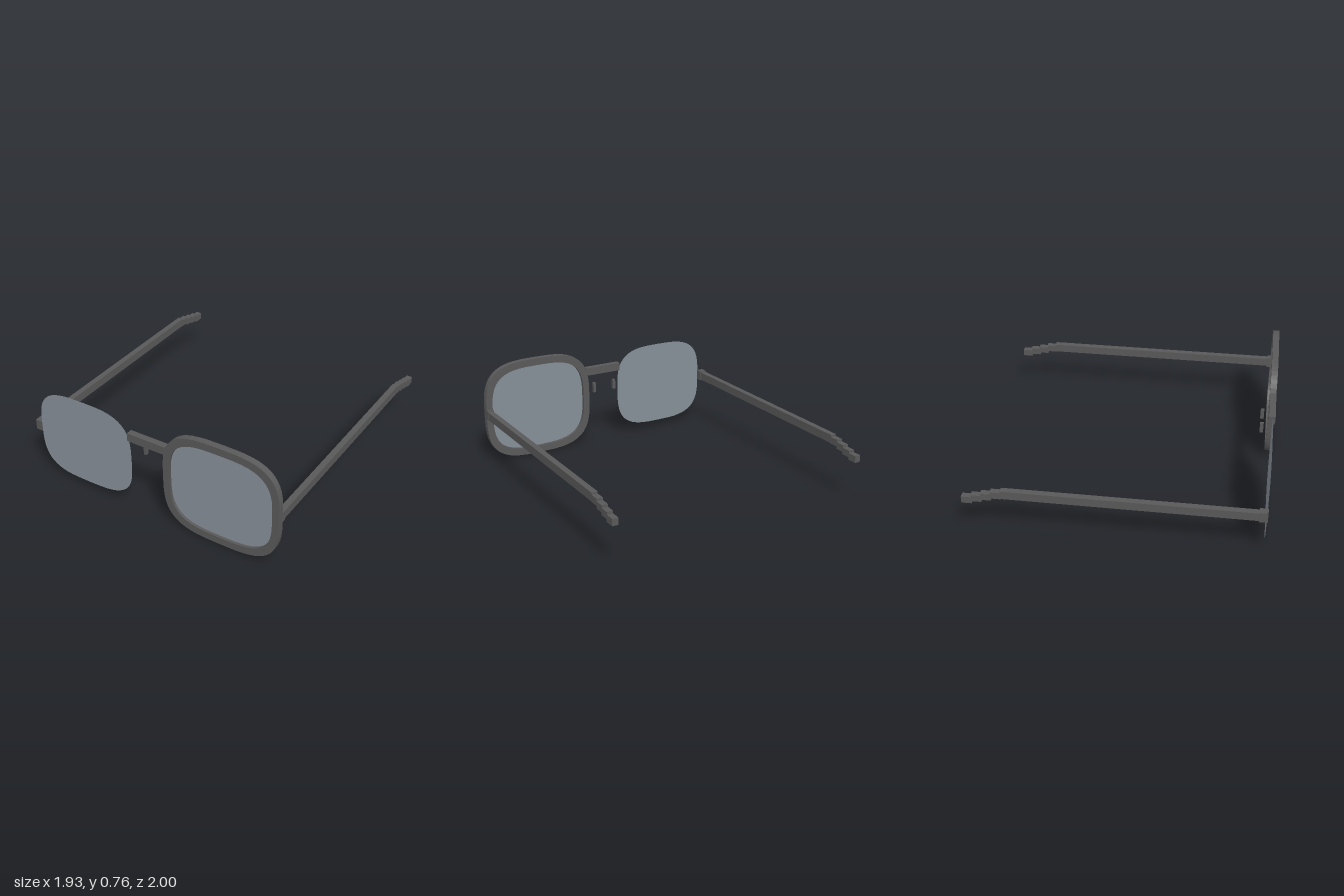
import * as THREE from 'three';

const LENS_X = 0.535, LENS_Y = 0.38;

// Rounded-square outline (superellipse) around the origin
function outline(halfW, halfH, PathType = THREE.Shape, n = 3.3, steps = 56) {
  const pts = [];
  for (let i = 0; i < steps; i++) {
    const a = (i / steps) * Math.PI * 2;
    const c = Math.cos(a), s = Math.sin(a);
    pts.push(new THREE.Vector2(
      Math.sign(c) * Math.abs(c) ** (2 / n) * halfW,
      Math.sign(s) * Math.abs(s) ** (2 / n) * halfH));
  }
  return new PathType(pts);
}

export function createModel() {
  const group = new THREE.Group();
  group.name = 'glasses';

  const frame = new THREE.MeshStandardMaterial({ color: 0x595959 });
  frame.name = 'dark grey frame';
  const glass = new THREE.MeshStandardMaterial({ color: 0x868f98, side: THREE.DoubleSide });
  glass.name = 'blue grey lens';

  // Box given by its extents on each axis
  function box(name, [x0, x1], [y0, y1], [z0, z1], parent = group) {
    const mesh = new THREE.Mesh(new THREE.BoxGeometry(x1 - x0, y1 - y0, z1 - z0), frame);
    mesh.position.set((x0 + x1) / 2, (y0 + y1) / 2, (z0 + z1) / 2);
    mesh.name = name;
    parent.add(mesh);
  }

  // Single rim, on the left side only
  const rimShape = outline(0.428, 0.378);
  rimShape.holes.push(outline(0.378, 0.325, THREE.Path));
  const rim = new THREE.Mesh(
    new THREE.ExtrudeGeometry(rimShape, { depth: 0.045, bevelEnabled: false }), frame);
  rim.position.set(LENS_X, LENS_Y, 0.955);
  rim.name = 'leftRim';
  group.add(rim);

  // Bridge
  box('bridge', [-0.165, 0.125], [0.55, 0.61], [0.955, 1]);

  for (const side of [1, -1]) {
    const label = side > 0 ? 'left' : 'right';

    // Flat lens
    const lens = new THREE.Mesh(new THREE.ShapeGeometry(outline(0.379, 0.325)), glass);
    lens.position.set(side * LENS_X, LENS_Y, 0.98);
    lens.name = label + 'Lens';
    group.add(lens);

    // Nose pad
    const pad = side * 0.085;
    box(label + 'NosePad', [pad - 0.01, pad + 0.01], [0.425, 0.5], [0.9, 0.925]);

    // Hinge block, straight arm and stepped ear tip
    const temple = new THREE.Group();
    temple.name = label + 'Temple';
    group.add(temple);
    const span = (inner, outer) => (side > 0 ? [inner, outer] : [-outer, -inner]);
    box(label + 'Hinge', span(0.913, 0.963), [0.345, 0.42], [0.93, 0.985], temple);
    box(label + 'Arm', span(0.918, 0.96), [0.352, 0.412], [-0.738, 0.95], temple);
    for (let i = 0; i < 4; i++) {
      const y = 0.349 - i * 0.018, z = -0.735 - i * 0.065;
      box(label + 'EarTip' + (i + 1), span(0.918, 0.96), [y, y + 0.049], [z - 0.07, z], temple);
    }
  }
  return group;
}
